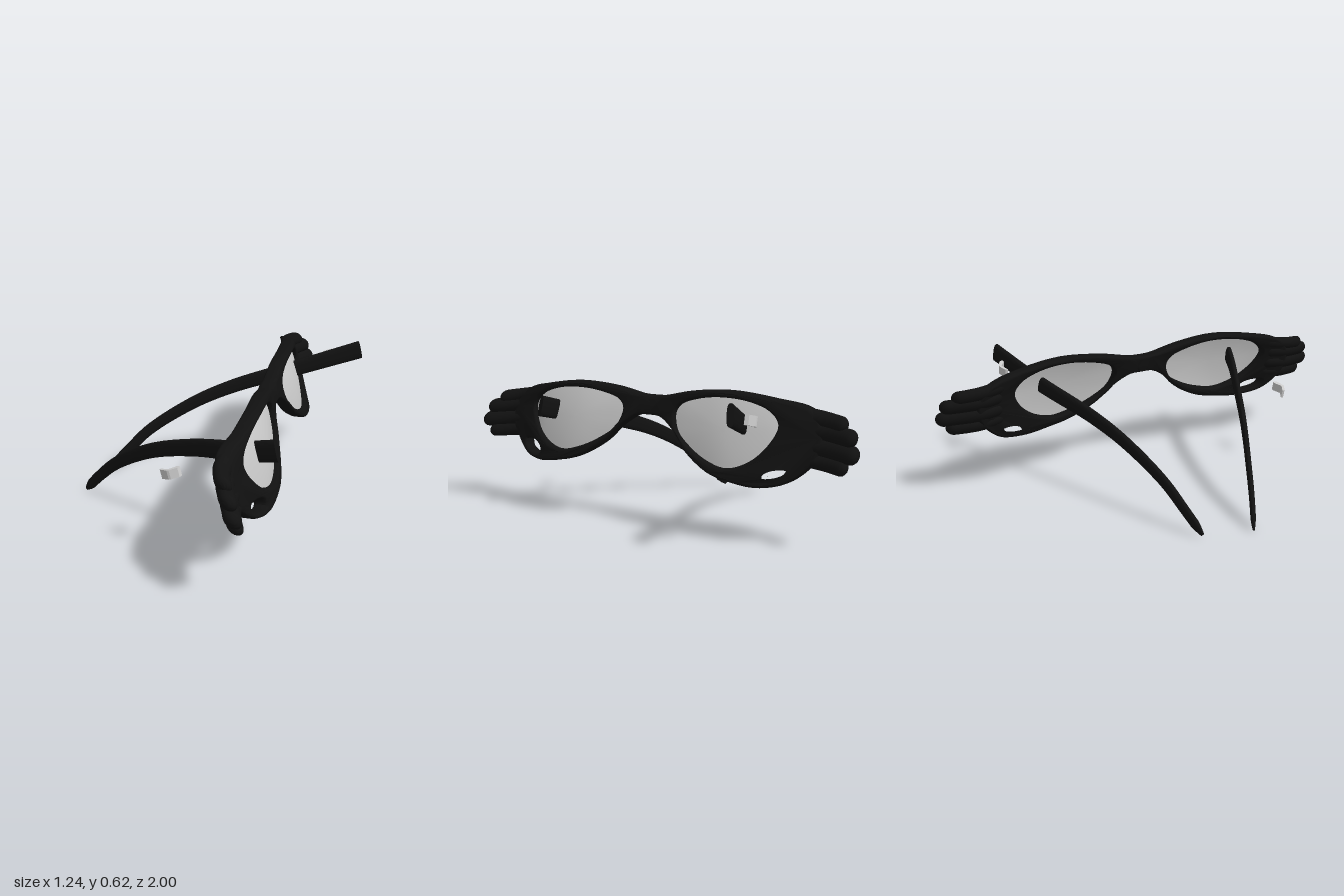
import * as THREE from 'three';
import { mergeVertices, toCreasedNormals } from 'three/addons/utils/BufferGeometryUtils.js';

const black = new THREE.MeshStandardMaterial({ color: 0x111111 });
const grey = new THREE.MeshStandardMaterial({ color: 0xcccccc, side: THREE.DoubleSide });

const V2 = (pts) => pts.map(([a, b]) => new THREE.Vector2(a, b));
const V3 = (pts) => pts.map((p) => new THREE.Vector3(...p));

// Half outlines as [z, y]
const RIM = [[-0.03, 0.575], [0.06, 0.587], [0.2, 0.615], [0.4, 0.63], [0.6, 0.608], [0.76, 0.57], [0.82, 0.5],
  [0.82, 0.4], [0.78, 0.34], [0.7, 0.275], [0.58, 0.25], [0.45, 0.265], [0.35, 0.29], [0.22, 0.365],
  [0.14, 0.445], [0.06, 0.495], [-0.03, 0.508]];
const LENS = [[0.14, 0.52], [0.165, 0.445], [0.245, 0.385], [0.35, 0.337], [0.46, 0.315], [0.565, 0.348],
  [0.645, 0.417], [0.683, 0.5], [0.645, 0.55], [0.54, 0.588], [0.38, 0.6], [0.245, 0.583], [0.165, 0.556]];
const THUMB_GAP = [[0.59, 0.283], [0.6, 0.315], [0.65, 0.338], [0.71, 0.335], [0.7, 0.305], [0.65, 0.283]];

// Wrap of the front: depth along the width, plus the backward lean
const wrap = new THREE.SplineCurve(V2([[0, 0.272], [0.2, 0.288], [0.4, 0.3], [0.6, 0.28], [0.8, 0.235], [1, 0.285]]));
function bend(geometry) {
  const p = geometry.attributes.position;
  for (let i = 0; i < p.count; i++) {
    const z = Math.min(Math.abs(p.getZ(i)), 1);
    p.setX(i, p.getX(i) + wrap.getPoint(z).y - 0.27 * (p.getY(i) - 0.46));
  }
  return geometry;
}

function smooth(geometry, angle = 0.8) {
  geometry.deleteAttribute('uv');
  geometry.deleteAttribute('normal');
  return toCreasedNormals(mergeVertices(geometry, 1e-5), angle);
}

function add(group, name, geometry, material) {
  const mesh = new THREE.Mesh(geometry, material);
  mesh.name = name;
  group.add(mesh);
  return mesh;
}

// Closed spline through an outline
function loop(pts) {
  return new THREE.CatmullRomCurve3(V3(pts.map(([z, y]) => [z, y, 0])), true, 'centripetal');
}

// Points of a loop laid out for extrusion along x
const flat = (pts, side, n) => loop(pts).getPoints(n).slice(0, n).map((p) => new THREE.Vector2(-side * p.x, p.y));

function rimHalf(side, lensPts) {
  const shape = new THREE.Shape(flat(RIM, side, 96));
  shape.holes.push(new THREE.Path(flat(lensPts, side, 64)), new THREE.Path(flat(THUMB_GAP, side, 28)));
  const g = new THREE.ExtrudeGeometry(shape, {
    depth: 0.03, bevelThickness: 0.018, bevelSize: 0.012, bevelOffset: -0.012, bevelSegments: 4, steps: 1,
  });
  g.translate(0, 0, -0.015).rotateY(Math.PI / 2);
  return smooth(bend(g));
}

// Lens: a disc stretched to the opening, slightly domed
function lens(side, lensPts) {
  const curve = loop(lensPts);
  const g = new THREE.RingGeometry(0.001, 1, 64, 8);
  const p = g.attributes.position;
  const centre = new THREE.Vector3(0.41, 0.47, 0);
  for (let i = 0; i < p.count; i++) {
    const r = Math.hypot(p.getX(i), p.getY(i));
    const t = (Math.atan2(p.getY(i), p.getX(i)) / (2 * Math.PI) + 1) % 1;
    const q = curve.getPoint(t).sub(centre).multiplyScalar(r * 1.02).add(centre);
    p.setXYZ(i, 0.008 + 0.012 * (1 - r * r), q.y, side * q.x);
  }
  return smooth(bend(g));
}

// Finger: capsule from [z, y] to [z, y], following the wrap
function finger(side, [z0, y0], [z1, y1], radius) {
  const a = new THREE.Vector3(0, y0, side * z0), b = new THREE.Vector3(0, y1, side * z1);
  const dir = b.clone().sub(a);
  const g = new THREE.CapsuleGeometry(radius, dir.length(), 6, 16, 10);
  g.applyQuaternion(new THREE.Quaternion().setFromUnitVectors(new THREE.Vector3(0, 1, 0), dir.clone().normalize()));
  const mid = a.add(b).multiplyScalar(0.5);
  g.translate(mid.x, mid.y, mid.z);
  return smooth(bend(g), 1.2);
}

// Arm: a cylinder swept along a path from ear tip to front, tall and thin in section
function arm(points, frontHeight) {
  const curve = new THREE.CatmullRomCurve3(V3(points));
  const g = new THREE.CylinderGeometry(1, 1, 1, 20, 48);
  const p = g.attributes.position;
  for (let i = 0; i < p.count; i++) {
    const t = p.getY(i) + 0.5;
    const c = curve.getPointAt(t), tan = curve.getTangentAt(t);
    const out = tan.clone().cross(new THREE.Vector3(0, 1, 0)).normalize();
    const up = out.clone().cross(tan);
    const tip = Math.sqrt(Math.min(1, 0.15 + t / 0.05));
    const h = THREE.MathUtils.lerp(0.023, frontHeight, t) * tip;
    const w = THREE.MathUtils.lerp(0.011, 0.015, t) * tip;
    // squarish section
    const sq = (v) => Math.sign(v) * Math.pow(Math.abs(v), 0.7);
    c.addScaledVector(out, sq(p.getX(i)) * w).addScaledVector(up, sq(p.getZ(i)) * h);
    p.setXYZ(i, c.x, c.y, c.z);
  }
  return smooth(g);
}

// Hinge: a small bent plate, leaning with the arms
function hinge(x, y, z, side) {
  const shape = new THREE.Shape(V2([[-0.042, -0.012], [-0.004, 0.006], [0.03, -0.016], [0.042, -0.012],
    [0.036, 0.004], [0.002, 0.018], [-0.008, 0.018], [-0.042, 0]].map(([a, b]) => [a, side * b])));
  const g = new THREE.ExtrudeGeometry(shape, { depth: 0.042, bevelEnabled: false });
  g.translate(0, 0, -0.021).rotateX(Math.PI / 2).rotateZ(0.24).translate(x, y, z);
  return g;
}

export function createModel() {
  const model = new THREE.Group();
  model.name = 'spectacles';

  for (const side of [1, -1]) {
    const label = side > 0 ? 'Near' : 'Far';
    const stretch = side > 0 ? 1 : 0.92;
    const lensPts = LENS.map(([z, y]) => [0.14 + (z - 0.14) * stretch, y]);
    add(model, 'rim' + label, rimHalf(side, lensPts), black);
    add(model, 'lens' + label, lens(side, lensPts), grey);

    // Four fingers spreading from the outer rim
    const hand = new THREE.Group();
    hand.name = 'hand' + label;
    model.add(hand);
    [
      [[0.72, 0.545], [0.895, 0.52], 0.034],
      [[0.73, 0.495], [0.945, 0.474], 0.036],
      [[0.73, 0.432], [0.962, 0.412], 0.037],
      [[0.72, 0.378], [0.922, 0.36], 0.033],
    ].forEach(([a, b, r], i) => add(hand, 'finger' + (i + 1), finger(side, a, b, r), black));
  }

  // Arms
  add(model, 'armFar', arm([[-0.565, 0.03, -0.1], [-0.48, 0.12, -0.142], [-0.38, 0.22, -0.19], [-0.18, 0.345, -0.28],
    [0, 0.418, -0.36], [0.3, 0.495, -0.49], [0.612, 0.58, -0.608]], 0.046), black);
  add(model, 'armNear', arm([[-0.61, 0.018, 0.13], [-0.52, 0.12, 0.172], [-0.42, 0.215, 0.215], [-0.22, 0.34, 0.305],
    [0, 0.42, 0.4], [0.24, 0.475, 0.505], [0.385, 0.512, 0.55]], 0.049), black);

  // Loose hinge plates
  add(model, 'hingeNear', hinge(-0.043, 0.398, 0.617, 1), grey);
  add(model, 'hingeFar', hinge(0.468, 0.542, -0.622, -1), grey);

  return model;
}
